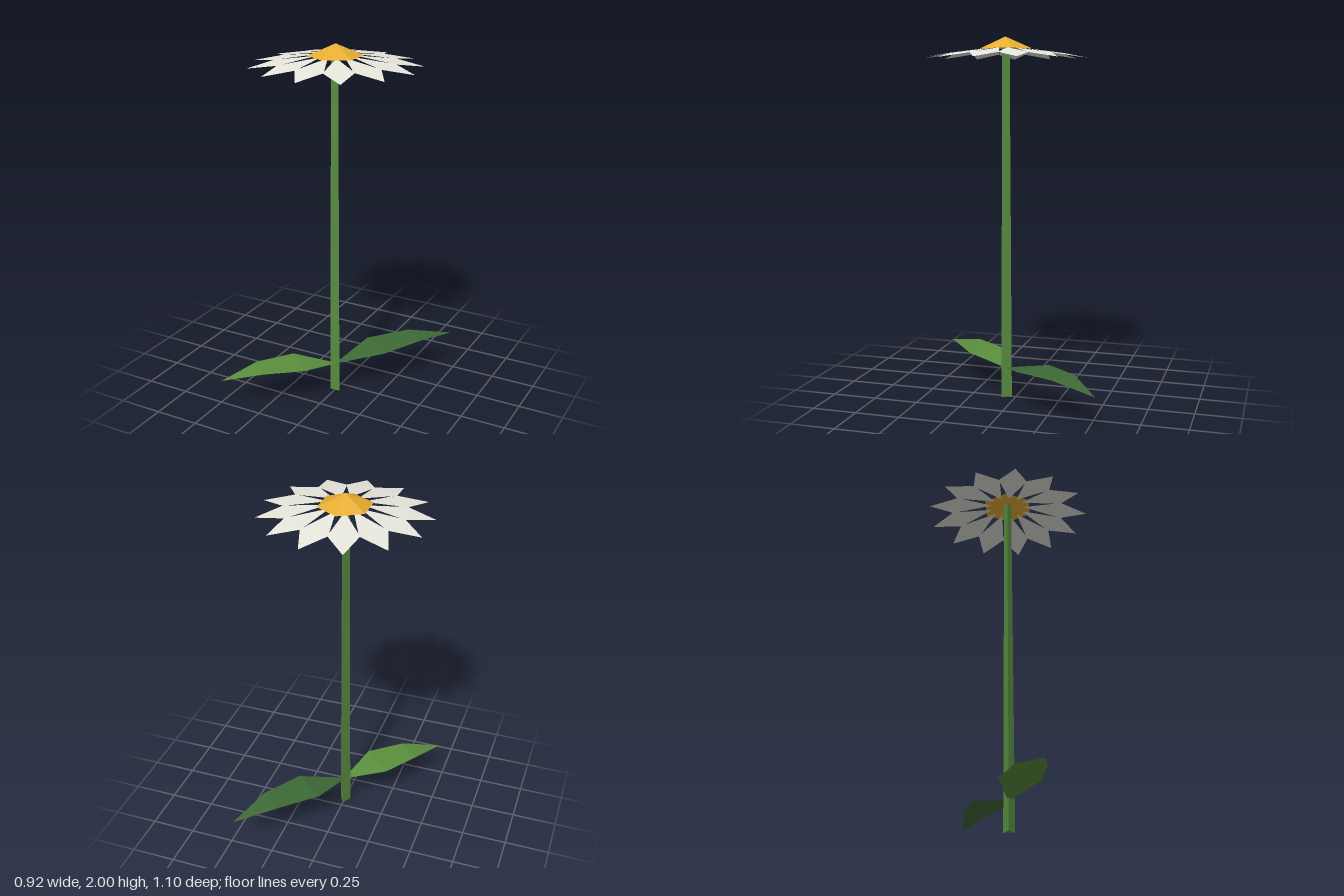
import * as THREE from 'three';

const mat = (name, color, extra = {}) => {
  const m = new THREE.MeshStandardMaterial({ color, flatShading: true, ...extra });
  m.name = name;
  return m;
};

// Thin blade: cross-sections [x, y, z, halfWidth] joined into a strip, widened along unit vector (sx, sz)
function blade(sections, sx, sz) {
  const pos = [], index = [];
  sections.forEach(([x, y, z, w], i) => {
    pos.push(x - sx * w, y, z - sz * w, x + sx * w, y, z + sz * w);
    if (i) {
      const a = 2 * i - 2;
      index.push(a, a + 1, a + 3, a, a + 3, a + 2);
    }
  });
  const g = new THREE.BufferGeometry();
  g.setAttribute('position', new THREE.Float32BufferAttribute(pos, 3));
  g.setIndex(index);
  g.computeVertexNormals();
  return g;
}

export function createModel() {
  const flower = new THREE.Group();
  flower.name = 'flower';
  const Z = 0.058; // stem axis
  const both = { side: THREE.DoubleSide };
  const stemGreen = mat('stem green', 0x588c40);
  const leafGreen = mat('light leaf green', 0x5a8f3c, both);
  const darkGreen = mat('dark leaf green', 0x3f6b37, both);
  const white = mat('petal white', 0xf2f2e8, both);
  const gold = mat('centre gold', 0xf0b434, both);

  const add = (parent, name, geometry, material) => {
    const mesh = new THREE.Mesh(geometry, material);
    mesh.name = name;
    parent.add(mesh);
    return mesh;
  };

  // Three-sided tapering stem, flat side to the front
  const stem = add(flower, 'stem', new THREE.CylinderGeometry(0.024, 0.035, 1.96, 3), stemGreen);
  stem.rotation.y = Math.PI;
  stem.position.set(0, 0.98, Z);

  // Leaves: straight in plan, arched in height
  const leaf = (name, tipX, tipZ, heights, material) => {
    const widths = [0.004, 0.11, 0.078, 0];
    const dx = tipX, dz = tipZ - Z, len = Math.hypot(dx, dz);
    const steps = [0, 1 / 3, 0.67, 1];
    const sections = steps.map((t, i) => [dx * t, heights[i], Z + dz * t, widths[i]]);
    add(flower, name, blade(sections, -dz / len, dx / len), material).geometry.name = name;
  };
  leaf('leftLeaf', 0.458, -0.55, [0.165, 0.222, 0.235, 0.197], darkGreen);
  leaf('rightLeaf', -0.46, 0.547, [0.165, 0.21, 0.212, 0.17], leafGreen);

  // Ring of thirteen drooping kite-shaped petals
  const petals = new THREE.Group();
  petals.name = 'petals';
  petals.position.z = Z;
  const petalShape = blade([[0.095, 1.94, 0, 0.001], [0.309, 1.911, 0, 0.079], [0.458, 1.886, 0, 0]], 0, -1);
  for (let i = 0; i < 13; i++) {
    add(petals, 'petal', petalShape, white).rotation.y = -0.06 - (i * Math.PI * 2) / 13;
  }
  flower.add(petals);

  // Hollow six-sided centre
  const centre = add(flower, 'centre', new THREE.ConeGeometry(0.147, 0.063, 6, 1, true), gold);
  centre.position.set(0, 1.9685, Z);

  return flower;
}
